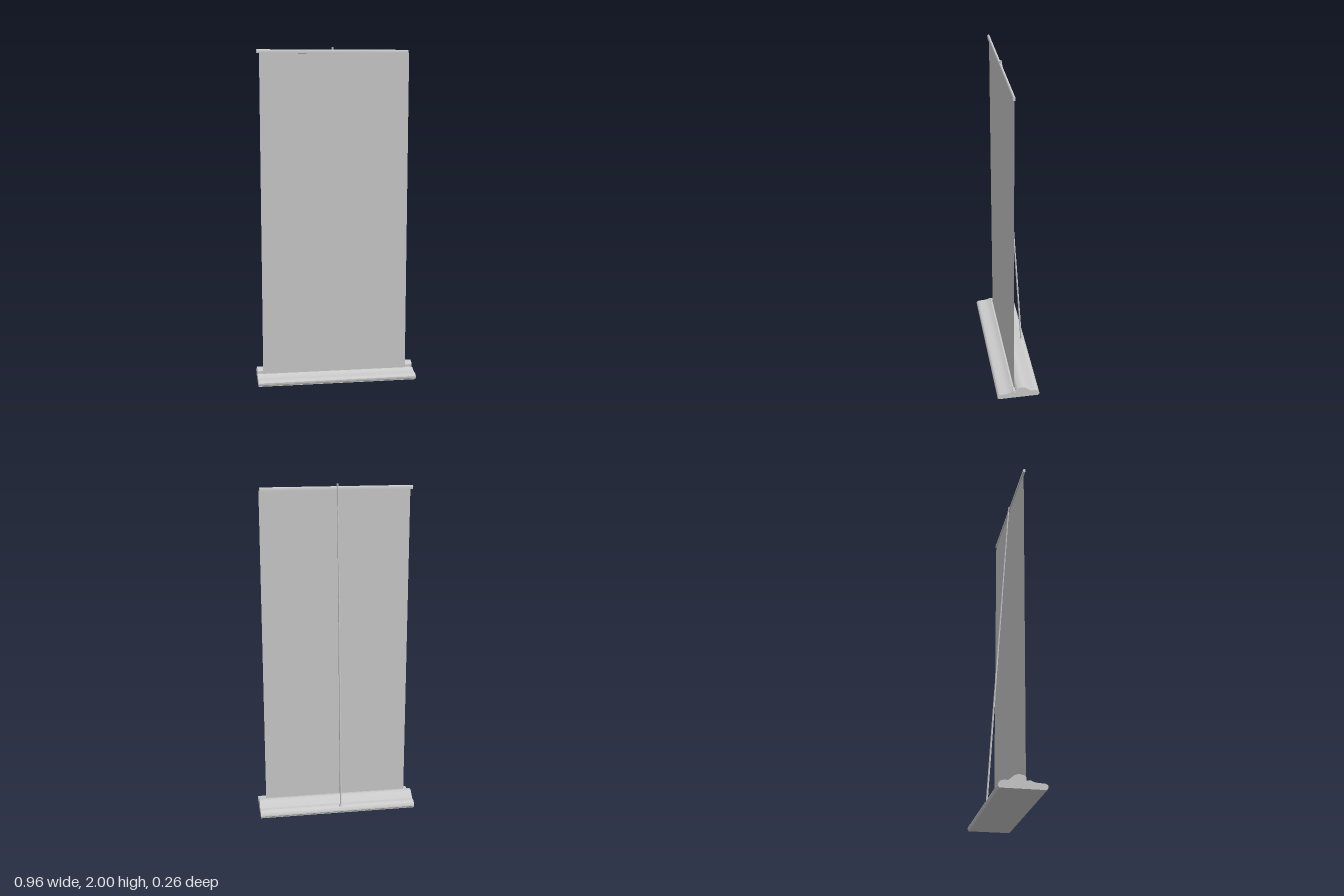
import * as THREE from 'three';
import { toCreasedNormals } from 'three/addons/utils/BufferGeometryUtils.js';

const grey = new THREE.MeshStandardMaterial({ color: 0xcccccc });
const thin = new THREE.MeshStandardMaterial({ color: 0xcccccc, side: THREE.DoubleSide });

function add(group, name, geometry, material = grey) {
  const mesh = new THREE.Mesh(geometry, material);
  mesh.name = name;
  group.add(mesh);
  return mesh;
}

const points = (list) => list.map(([a, b]) => new THREE.Vector2(a, b));

// Extrudes a (z, y) profile sideways from x0 to x1
function extrudeAcross(shape, x0, x1) {
  const geometry = new THREE.ExtrudeGeometry(shape, {
    depth: x1 - x0, bevelEnabled: false, curveSegments: 10,
  });
  geometry.rotateY(-Math.PI / 2).translate(x1, 0, 0);
  return toCreasedNormals(geometry, 0.6);
}

// Cylinder running between two points
function rod(from, to, radius, sides = 12) {
  const dir = to.clone().sub(from);
  const geometry = new THREE.CylinderGeometry(radius, radius, dir.length(), sides);
  geometry.applyQuaternion(new THREE.Quaternion().setFromUnitVectors(
    new THREE.Vector3(0, 1, 0), dir.clone().normalize()));
  const mid = from.clone().add(to).multiplyScalar(0.5);
  return toCreasedNormals(geometry.translate(mid.x, mid.y, mid.z), 0.8);
}

export function createModel() {
  const model = new THREE.Group();
  model.name = 'rollUpBanner';

  // Base housing: low front ledge, slot, tall roller hump, small rear ridge
  const base = new THREE.Shape();
  base.moveTo(-0.127, 0.005);
  base.lineTo(0.127, 0.005);
  base.splineThru(points([[0.131, 0.014], [0.129, 0.025], [0.118, 0.032], [0.1, 0.034]]));
  base.splineThru(points([[0.07, 0.036], [0.05, 0.041], [0.034, 0.048]]));
  base.lineTo(0.032, 0.038);
  base.lineTo(0.018, 0.038);
  base.lineTo(0.018, 0.06);
  base.splineThru(points([[0.008, 0.069], [-0.008, 0.074], [-0.024, 0.075],
    [-0.042, 0.07], [-0.058, 0.058], [-0.076, 0.042]]));
  base.splineThru(points([[-0.09, 0.042], [-0.105, 0.041], [-0.12, 0.034],
    [-0.129, 0.022], [-0.131, 0.012]]));
  base.closePath();
  add(model, 'baseHousing', extrudeAcross(base, -0.48, 0.48));

  // Bottom plate
  add(model, 'bottomPlate', new THREE.BoxGeometry(0.96, 0.006, 0.25).translate(0, 0.003, 0));

  // Plugs closing the slot at both ends
  for (const [x0, x1] of [[-0.478, -0.447], [0.437, 0.478]]) {
    add(model, 'slotPlug', new THREE.BoxGeometry(x1 - x0, 0.01, 0.014)
      .translate((x0 + x1) / 2, 0.041, 0.025));
  }

  // Banner sheet, leaning very slightly forward
  const sheet = new THREE.PlaneGeometry(0.88, 1.93);
  sheet.rotateX(0.003).translate(-0.005, 1.005, 0.025);
  add(model, 'bannerSheet', sheet, thin);

  // Top rail with a rounded upper edge
  const rail = new THREE.Shape();
  rail.moveTo(0.022, 1.964);
  rail.lineTo(0.035, 1.964);
  rail.lineTo(0.036, 1.98);
  rail.quadraticCurveTo(0.035, 1.986, 0.029, 1.986);
  rail.quadraticCurveTo(0.023, 1.986, 0.022, 1.98);
  rail.closePath();
  add(model, 'topRail', extrudeAcross(rail, -0.46, 0.43));

  // Rear support pole in three narrowing sections
  const foot = new THREE.Vector3(-0.018, 0.035, -0.105);
  const head = new THREE.Vector3(-0.018, 1.985, 0.022);
  const at = (t) => foot.clone().lerp(head, t);
  [0.0055, 0.0048, 0.0042].forEach((radius, i) => {
    add(model, 'poleSection', rod(at(i / 3), at((i + 1) / 3), radius));
  });

  // Pole socket on the rear ridge
  const socket = new THREE.LatheGeometry(points([[0, 0.034], [0.012, 0.034], [0.012, 0.043],
    [0.009, 0.047], [0, 0.047]]), 20);
  add(model, 'poleSocket', toCreasedNormals(socket.translate(foot.x, 0, foot.z), 0.5));

  // Hook tip holding the rail
  add(model, 'poleTip', rod(new THREE.Vector3(-0.018, 1.97, 0.025),
    new THREE.Vector3(-0.018, 2, 0.026), 0.006));

  return model;
}
